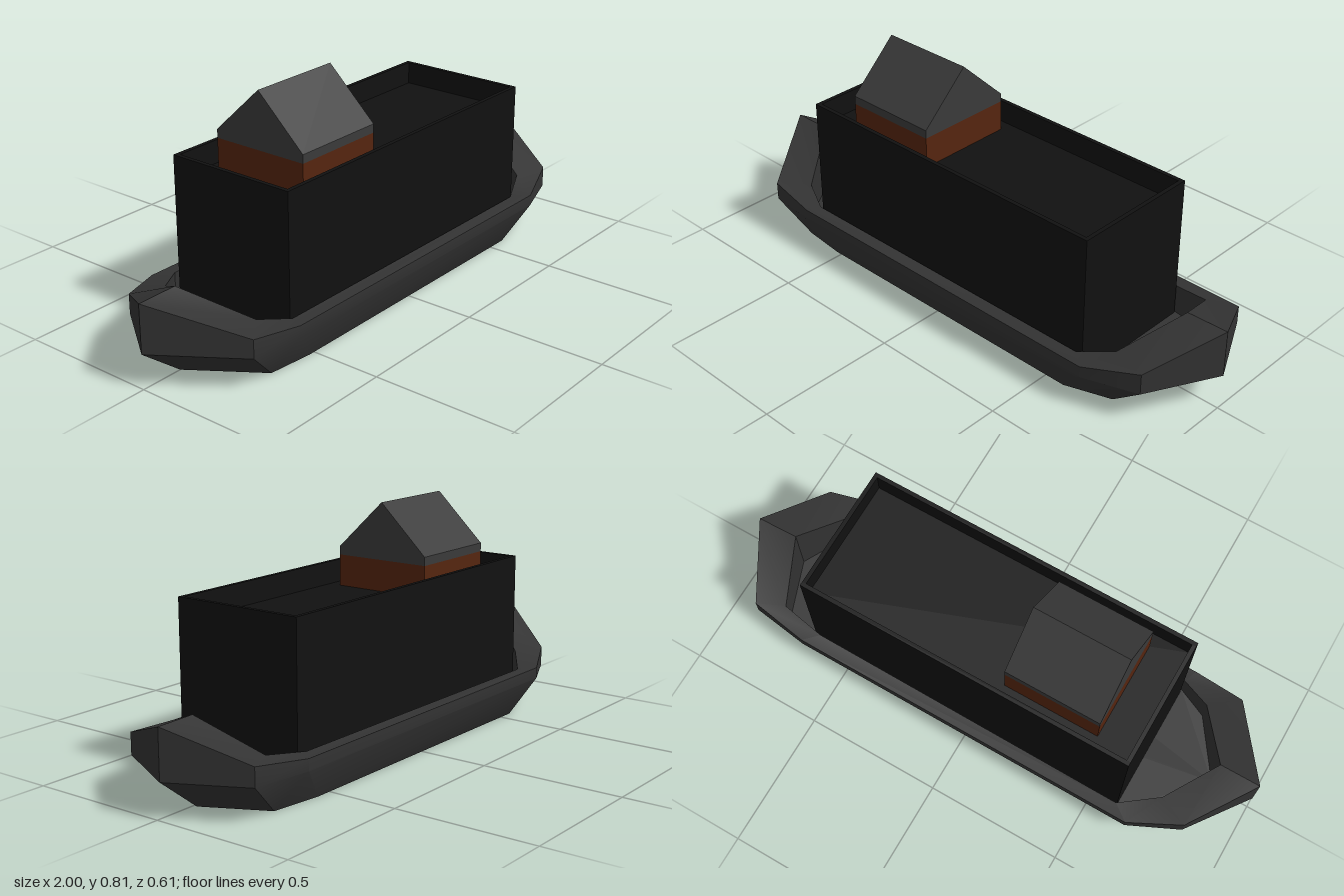
import * as THREE from 'three';
import { toCreasedNormals } from 'three/addons/utils/BufferGeometryUtils.js';

// Mesh with a plain coloured material
function part(name, geometry, color, side = THREE.FrontSide) {
  const mesh = new THREE.Mesh(geometry, new THREE.MeshStandardMaterial({ color, side }));
  mesh.name = name;
  return mesh;
}

// Join rings of [x, y, z] points, capping the first (down) and last (up)
function loftRings(rings) {
  const n = rings[0].length;
  const index = [];
  for (let r = 0; r < rings.length - 1; r++) {
    for (let i = 0; i < n; i++) {
      const a = r * n + i, b = r * n + (i + 1) % n;
      index.push(a, a + n, b, b, a + n, b + n);
    }
  }
  const last = (rings.length - 1) * n;
  for (let i = 1; i < n - 1; i++) {
    index.push(0, i, i + 1, last, last + i + 1, last + i);
  }
  const geo = new THREE.BufferGeometry();
  geo.setAttribute('position', new THREE.Float32BufferAttribute(rings.flat(2), 3));
  geo.setIndex(index);
  return toCreasedNormals(geo, 0.5);
}

// Hull: flat bottom, flared sides, raised pointed ends and a sunken floor
function createHull() {
  const outer = [[-1, 0], [-0.84, -0.22], [-0.66, -0.305], [0.66, -0.3], [0.87, -0.27],
    [1, -0.015], [0.87, 0.235], [0.68, 0.3], [-0.62, 0.3], [-0.81, 0.28]];
  const inner = [[-0.85, 0], [-0.73, -0.17], [-0.6, -0.26], [0.61, -0.25], [0.77, -0.225],
    [0.85, -0.01], [0.74, 0.2], [0.62, 0.25], [-0.6, 0.25], [-0.71, 0.2]];
  const sheer = [0.29, 0.19, 0.16, 0.16, 0.185, 0.29, 0.195, 0.16, 0.16, 0.185];
  return part('hull', loftRings([
    outer.map(([x, z]) => [x * 0.845, 0, z * 0.835]),
    outer.map(([x, z]) => [x, 0.12, z]),
    outer.map(([x, z], i) => [x, sheer[i], z]),
    inner.map(([x, z], i) => [x, sheer[i], z]),
    inner.map(([x, z]) => [x, 0.06, z]),
  ]), 0x333333);
}

function box(name, x0, x1, y0, y1, z0, z1, color) {
  const geo = new THREE.BoxGeometry(x1 - x0, y1 - y0, z1 - z0);
  geo.translate((x0 + x1) / 2, (y0 + y1) / 2, (z0 + z1) / 2);
  return part(name, geo, color);
}

// Deckhouse: four thin walls standing above a recessed deck
function createDeckhouse() {
  const group = new THREE.Group();
  group.name = 'deckhouse';
  const x0 = -0.6, x1 = 0.64, w = 0.24, t = 0.015, top = 0.58, base = 0.06, black = 0x111111;
  group.add(
    box('frontWall', x0, x1, base, top, w - t, w, black),
    box('backWall', x0, x1, base, top, -w, t - w, black),
    box('rightEndWall', x0, x0 + t, base, top, t - w, w - t, black),
    box('leftEndWall', x1 - t, x1, base, top, t - w, w - t, black),
    box('deck', x0 + t, x1 - t, 0.47, 0.5, t - w, w - t, black),
  );
  return group;
}

// Cabin: brown walls under a gabled roof with short upright eaves
function createCabin() {
  const group = new THREE.Group();
  group.name = 'cabin';
  const x0 = -0.46, x1 = -0.11, w = 0.18;
  const gable = new THREE.Shape([[-w, 0.61], [w, 0.61], [w, 0.64], [0, 0.81], [-w, 0.64]]
    .map(([x, y]) => new THREE.Vector2(x, y)));
  const roof = new THREE.ExtrudeGeometry(gable, { depth: x1 - x0, bevelEnabled: false });
  roof.rotateY(Math.PI / 2).translate(x0, 0, 0);
  group.add(
    box('cabinWalls', x0, x1, 0.5, 0.61, -w, w, 0x55250f),
    part('cabinRoof', roof, 0x3a3a3a),
  );
  return group;
}

export function createModel() {
  const model = new THREE.Group();
  model.name = 'barge';
  model.add(createHull(), createDeckhouse(), createCabin());
  return model;
}
